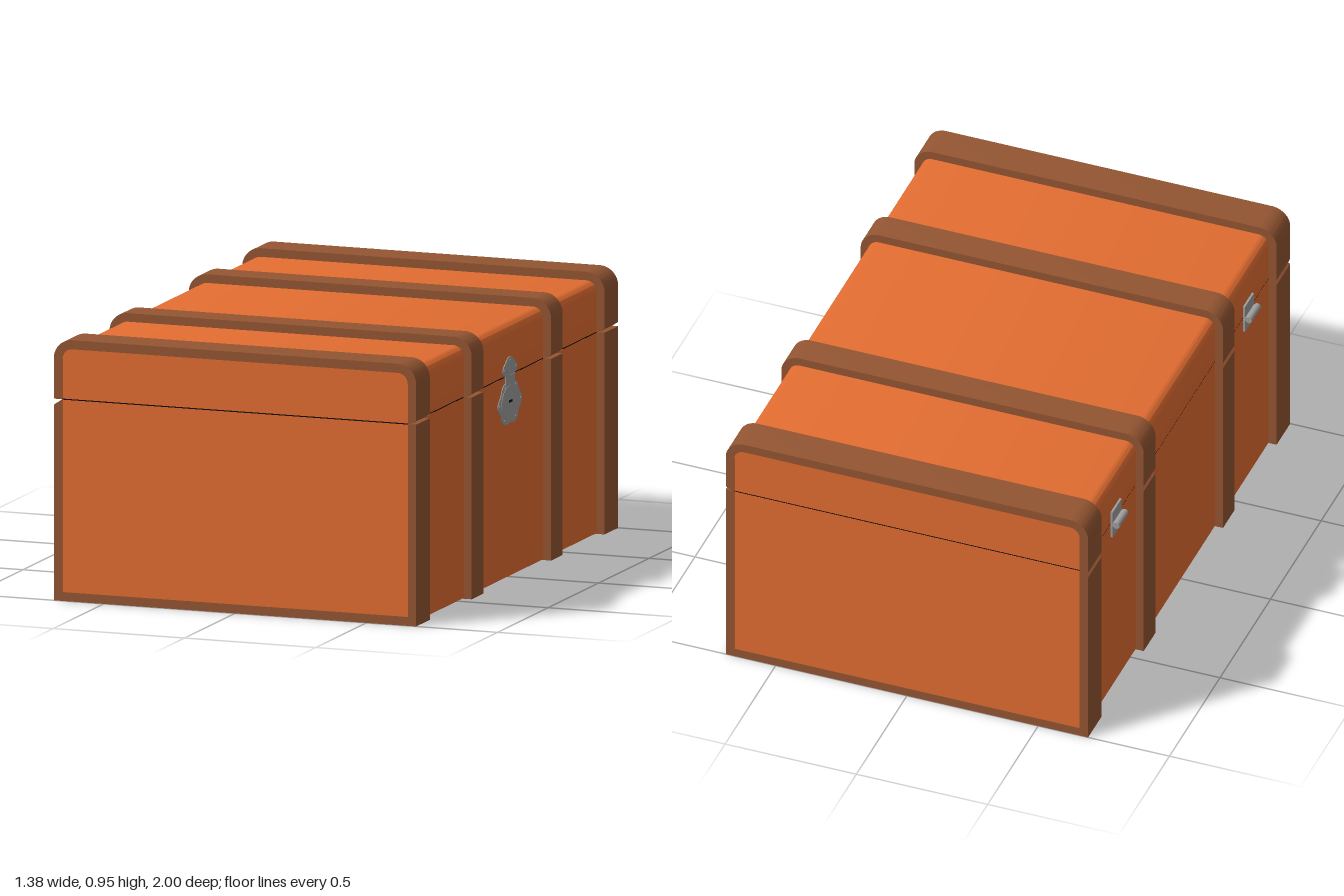
import * as THREE from 'three';
import { toCreasedNormals } from 'three/addons/utils/BufferGeometryUtils.js';

const SEAM = 0.73;

export function createModel() {
  const trunk = new THREE.Group();
  trunk.name = 'trunk';
  const mat = (name, color) => {
    const m = new THREE.MeshStandardMaterial({ color });
    m.name = name;
    return m;
  };
  const leather = mat('orange leather', 0xe36d31);
  const strapLeather = mat('brown strap', 0x935532);
  const metal = mat('grey metal', 0x9d9d9d);
  const dark = mat('black gap', 0x0c0a09);

  const add = (name, geometry, material, x = 0, y = 0, z = 0, parent = trunk) => {
    const mesh = new THREE.Mesh(geometry, material);
    mesh.name = name;
    mesh.position.set(x, y, z);
    parent.add(mesh);
    return mesh;
  };
  // Extrusion centred on z with smooth rounded corners
  const extrude = (shape, depth, curveSegments = 10) => {
    const g = new THREE.ExtrudeGeometry(shape, { depth, bevelEnabled: false, curveSegments });
    g.translate(0, 0, -depth / 2);
    return toCreasedNormals(g, 0.6);
  };

  // Body, lid and the dark line between them
  const bottom = 0.003, lowTop = SEAM - 0.002, lidBottom = SEAM + 0.002;
  add('body', new THREE.BoxGeometry(1.32, lowTop - bottom, 1.996), leather, 0, (lowTop + bottom) / 2, 0);
  const lid = new THREE.Shape();
  lid.moveTo(-0.66, lidBottom);
  lid.lineTo(0.66, lidBottom);
  lid.lineTo(0.66, 0.875);
  lid.absarc(0.62, 0.875, 0.04, 0, Math.PI / 2, false);
  lid.absarc(-0.62, 0.875, 0.04, Math.PI / 2, Math.PI, false);
  lid.closePath();
  add('lid', extrude(lid, 1.996), leather);
  add('seam', new THREE.BoxGeometry(1.319, 0.004, 1.995), dark, 0, SEAM, 0);

  // Lid strap: rounded arch, chamfered below on the lock side
  const arch = new THREE.Shape();
  arch.moveTo(0.658, SEAM);
  arch.lineTo(0.668, SEAM + 0.001);
  arch.lineTo(0.69, 0.745);
  arch.lineTo(0.69, 0.876);
  arch.absarc(0.62, 0.876, 0.07, 0, Math.PI / 2, false);
  arch.absarc(-0.62, 0.876, 0.07, Math.PI / 2, Math.PI, false);
  arch.lineTo(-0.69, SEAM);
  arch.lineTo(-0.658, SEAM);
  arch.lineTo(-0.658, 0.875);
  arch.absarc(-0.62, 0.875, 0.038, Math.PI, Math.PI / 2, true);
  arch.absarc(0.62, 0.875, 0.038, Math.PI / 2, 0, true);
  arch.closePath();

  // Body strap: square U, chamfered above on the hinge side
  const cradle = new THREE.Shape();
  [[-0.69, 0], [0.69, 0], [0.69, SEAM], [0.658, SEAM], [0.658, 0.032],
    [-0.658, 0.032], [-0.658, SEAM], [-0.69, 0.708]].forEach(([x, y], i) =>
    (i ? cradle.lineTo(x, y) : cradle.moveTo(x, y)));
  cradle.closePath();

  for (const side of [-1, 1]) {
    for (const [z, width] of [[0.9325, 0.135], [0.3925, 0.115]]) {
      add('lidStrap', extrude(arch, width), strapLeather, 0, 0, side * z);
      add('bodyStrap', extrude(cradle, width), strapLeather, 0, 0, side * z);
    }
  }

  // Lock: two thin oval plates with lobed rims, joined by a tongue
  const lock = new THREE.Group();
  lock.name = 'lock';
  lock.position.x = 0.66;
  trunk.add(lock);
  const lobedPlate = (rz, ry, lobes, wave) => {
    const pts = [];
    for (let i = 0; i < 72; i++) {
      const a = (i / 72) * Math.PI * 2;
      const r = 1 + wave * Math.cos(lobes * a);
      pts.push(new THREE.Vector2(rz * r * Math.cos(a), ry * r * Math.sin(a)));
    }
    const g = new THREE.ExtrudeGeometry(new THREE.Shape(pts), { depth: 0.003, bevelEnabled: false });
    return g.rotateY(Math.PI / 2);
  };
  add('lockPlate', lobedPlate(0.11, 0.077, 6, 0.07), metal, 0, 0.63, 0, lock);
  add('haspPlate', lobedPlate(0.064, 0.042, 4, 0.08), metal, 0, 0.752, 0, lock);
  add('haspTongue', new THREE.BoxGeometry(0.004, 0.044, 0.09), metal, 0.002, 0.708, 0, lock);

  // Raised oval, keyhole and rivets
  const oval = add('lockOval', new THREE.CylinderGeometry(1, 1, 0.002, 32), metal, 0.004, 0.632, 0, lock);
  oval.rotation.z = -Math.PI / 2;
  oval.scale.set(0.064, 1, 0.086);
  add('keyhole', new THREE.BoxGeometry(0.002, 0.009, 0.03), dark, 0.0045, 0.636, 0, lock);
  const rivet = new THREE.CylinderGeometry(0.005, 0.006, 0.002, 10).rotateZ(-Math.PI / 2);
  for (const s of [-1, 1]) {
    for (const [y, z] of [[0.63, 0.105], [0.572, 0.056], [0.688, 0.056], [0.752, 0.058]]) {
      add('rivet', rivet, metal, 0.004, y, s * z, lock);
    }
  }
  add('rivet', rivet, metal, 0.004, 0.782, 0, lock);

  // Two hinges on the opposite side
  for (const side of [-1, 1]) {
    const hinge = new THREE.Group();
    hinge.name = 'hinge';
    hinge.position.set(-0.66, SEAM - 0.003, side * 0.655);
    trunk.add(hinge);
    for (const s of [-1, 1]) {
      add('hingeLeaf', new THREE.BoxGeometry(0.008, 0.053, 0.09), metal, -0.004, s * 0.0285, 0, hinge);
    }
    add('hingeBarrel', new THREE.CylinderGeometry(0.013, 0.013, 0.09, 16).rotateX(Math.PI / 2),
      metal, -0.021, 0, 0, hinge);
    add('hingeWeb', new THREE.BoxGeometry(0.018, 0.014, 0.088), metal, -0.011, 0, 0, hinge);
  }
  return trunk;
}
